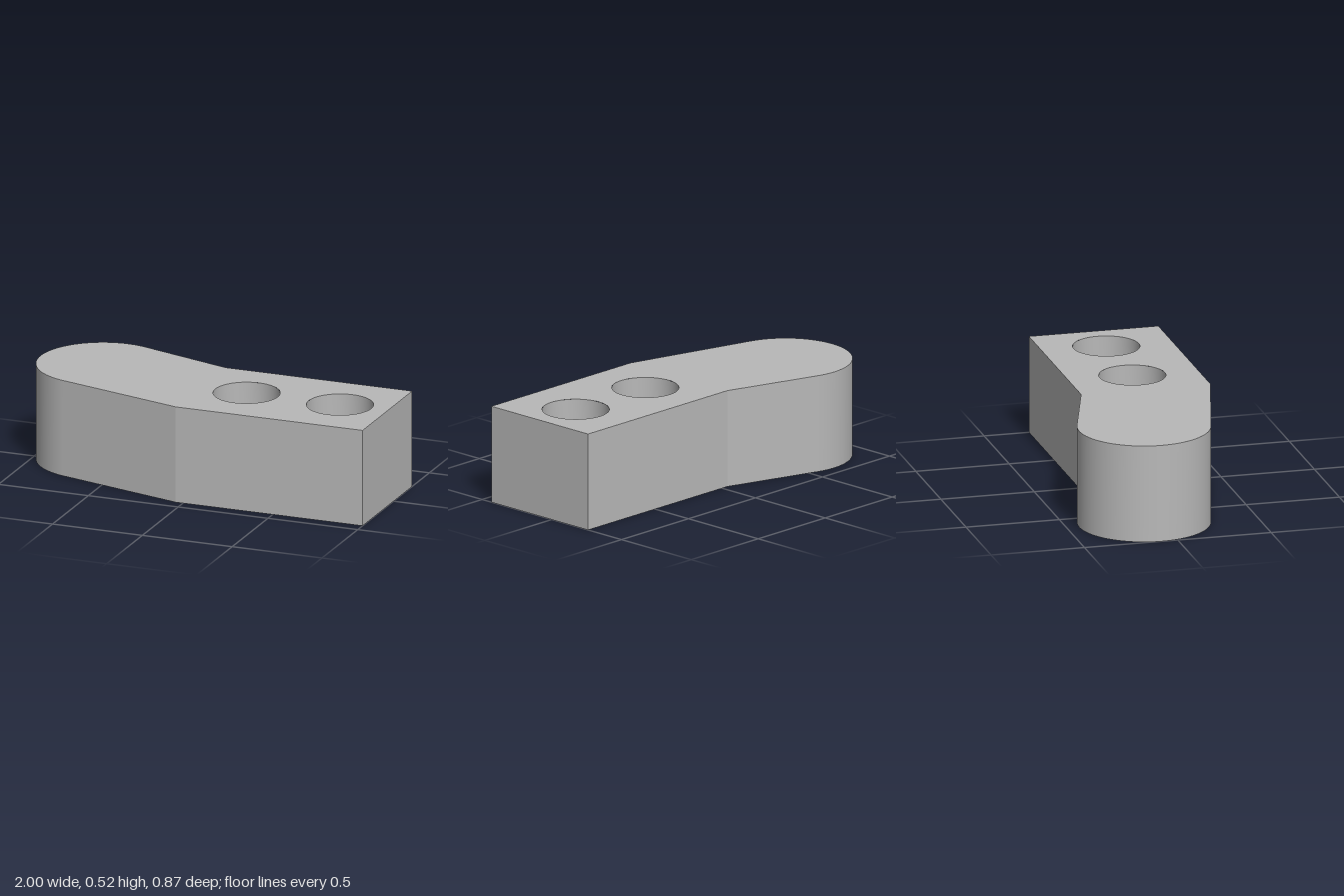
import * as THREE from 'three';
import { toCreasedNormals } from 'three/addons/utils/BufferGeometryUtils.js';

const HEIGHT = 0.52;
const EYE = [-0.653, 0.088]; // centre of the round end, as (x, -z)
const EYE_R = 0.347;
const BIG = 0.174, SMALL = 0.106; // counterbore and bolt hole radii
const BOLTS = [[0.215, -0.083], [0.735, -0.083]];

// Plan outline in (x, -z), counter-clockwise
function outlineShape() {
  const s = new THREE.Shape();
  s.moveTo(-0.04, -0.433);
  s.lineTo(1, -0.433);
  s.lineTo(1, 0.26);
  s.lineTo(-0.04, 0.26);
  s.absarc(EYE[0], EYE[1], EYE_R, THREE.MathUtils.degToRad(72.7), THREE.MathUtils.degToRad(255.1), false);
  s.closePath();
  return s;
}

// Flat face with round openings, given as [x, -z, radius]
function capGeometry(openings, y, faceDown) {
  const s = outlineShape();
  for (const [x, v, r] of openings) {
    s.holes.push(new THREE.Path().absarc(x, v, r, 0, Math.PI * 2, true));
  }
  const g = new THREE.ShapeGeometry(s, 48);
  g.rotateX(-Math.PI / 2).translate(0, y, 0);
  if (faceDown) {
    g.index.array.reverse();
    g.computeVertexNormals();
  }
  return g;
}

// Upright wall following the outline
function wallGeometry() {
  const pts = outlineShape().getPoints(48);
  if (!pts[0].equals(pts[pts.length - 1])) pts.push(pts[0].clone());
  const n = pts.length;
  const g = new THREE.PlaneGeometry(1, 1, n - 1, 1);
  for (let i = 0; i < n; i++) {
    g.attributes.position.setXYZ(i, pts[i].x, HEIGHT, -pts[i].y);
    g.attributes.position.setXYZ(n + i, pts[i].x, 0, -pts[i].y);
  }
  return toCreasedNormals(g, 0.2);
}

// Stepped hole; the profile runs downwards so that its faces look inwards
function boreGeometry(profile) {
  const pts = profile.map(([r, y]) => new THREE.Vector2(r, y));
  return toCreasedNormals(new THREE.LatheGeometry(pts, 48), 0.5);
}

export function createModel() {
  const model = new THREE.Group();
  model.name = 'offsetClampArm';
  const grey = new THREE.MeshStandardMaterial({ color: 0xb8b8b8 });
  grey.name = 'plain grey';

  const add = (name, geometry, x = 0, z = 0) => {
    const mesh = new THREE.Mesh(geometry, grey);
    mesh.name = name;
    mesh.position.set(x, 0, z);
    model.add(mesh);
  };

  // Body shell
  add('sideWall', wallGeometry());
  add('topFace', capGeometry(BOLTS.map(([x, v]) => [x, v, BIG]), HEIGHT, false));
  add('bottomFace', capGeometry([...BOLTS.map(([x, v]) => [x, v, SMALL]), [...EYE, BIG]], 0, true));

  // Counterbored bolt holes, open right through
  const boltBore = boreGeometry([[BIG, HEIGHT], [BIG, 0.32], [SMALL, 0.32], [SMALL, 0]]);
  BOLTS.forEach(([x, v], i) => add('boltHole' + (i + 1), boltBore, x, -v));

  // Blind stepped socket under the round end
  const socket = boreGeometry([[0, 0.35], [0.097, 0.35], [0.097, 0.104], [BIG, 0.104], [BIG, 0]]);
  add('undersideSocket', socket, EYE[0], -EYE[1]);

  return model;
}
